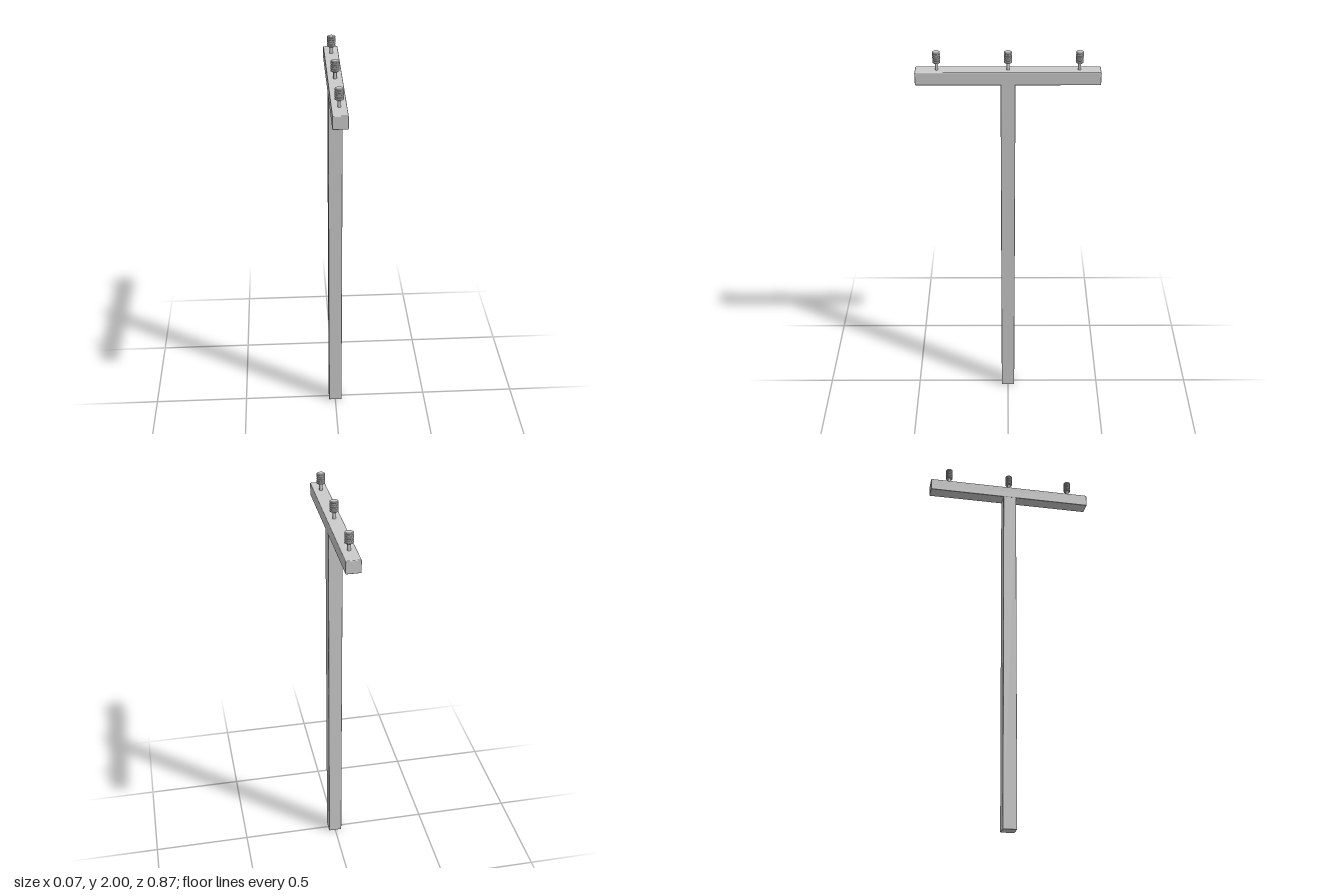
import * as THREE from 'three';
import { RoundedBoxGeometry } from 'three/addons/geometries/RoundedBoxGeometry.js';
import { toCreasedNormals } from 'three/addons/utils/BufferGeometryUtils.js';

const material = new THREE.MeshStandardMaterial({ color: 0xcccccc });

function addPart(parent, name, geometry, y) {
  const mesh = new THREE.Mesh(geometry, material);
  mesh.name = name;
  mesh.position.y = y;
  parent.add(mesh);
  return mesh;
}

// Ribbed insulator body: a stack of rounded discs with narrow grooves
function insulatorGeometry(height, radius, ribs) {
  const pitch = height / ribs;
  const points = [new THREE.Vector2(0, 0)];
  for (let i = 0; i < ribs; i++) {
    const y = i * pitch;
    points.push(
      new THREE.Vector2(radius * 0.84, y),
      new THREE.Vector2(radius, y + pitch * 0.25),
      new THREE.Vector2(radius, y + pitch * 0.75),
      new THREE.Vector2(radius * 0.84, y + pitch)
    );
    if (i < ribs - 1) points.pop();
  }
  points.push(new THREE.Vector2(0, height));
  return toCreasedNormals(new THREE.LatheGeometry(points, 24), 0.5);
}

export function createModel() {
  const model = new THREE.Group();
  model.name = 'utilityPole';

  // Square post and crossarm with softened edges
  addPart(model, 'post', new RoundedBoxGeometry(0.07, 1.85, 0.07, 2, 0.003), 0.925);
  addPart(model, 'crossarm', new RoundedBoxGeometry(0.072, 0.065, 0.87, 2, 0.004), 1.878);

  // Three insulators on pins, slightly oval in plan
  const pin = new THREE.CylinderGeometry(0.0085, 0.0085, 0.05, 16);
  const body = insulatorGeometry(0.055, 0.021, 5);
  for (const z of [-0.333, 0, 0.333]) {
    const insulator = new THREE.Group();
    insulator.name = 'insulator';
    insulator.position.z = z;
    insulator.scale.z = 0.85;
    addPart(insulator, 'insulatorPin', pin, 1.925);
    addPart(insulator, 'insulatorBody', body, 1.945);
    model.add(insulator);
  }
  return model;
}
